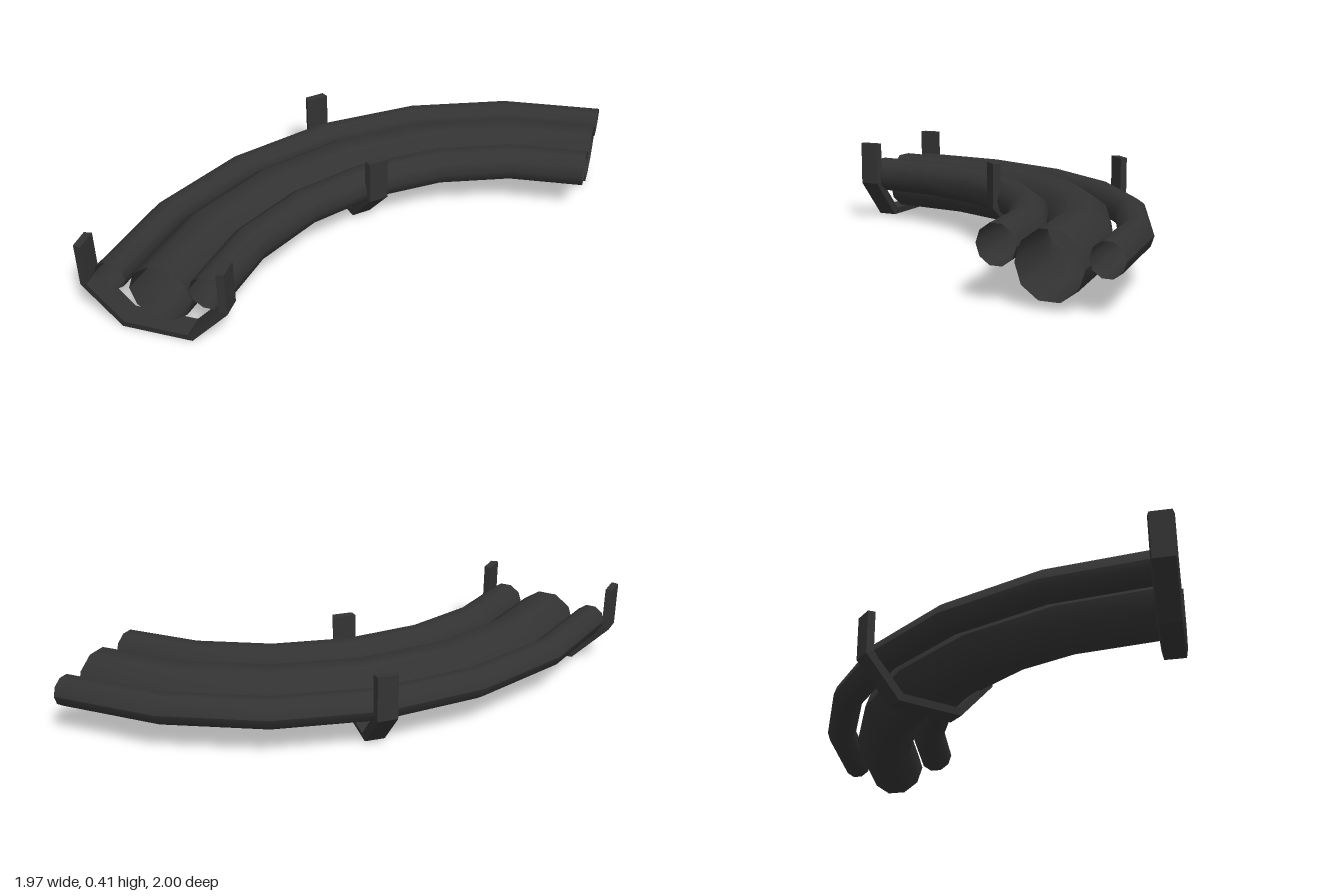
import * as THREE from 'three';

const dark = new THREE.MeshStandardMaterial({ color: 0x333333, side: THREE.DoubleSide });
const darkFlat = new THREE.MeshStandardMaterial({ color: 0x333333, flatShading: true });

const BEND = { x: 0.985, z: 0.932 }; // centre of the quarter-circle bend
const MID_R = 1.626;

// Open-ended pipe swept through 90 degrees in six straight runs
function pipe(name, bendRadius, y, radius, sides = 10) {
  const ring = [];
  for (let i = 0; i <= sides; i++) {
    const a = (i / sides) * Math.PI * 2;
    ring.push(new THREE.Vector2(bendRadius + radius * Math.cos(a), radius * Math.sin(a)));
  }
  const geo = new THREE.LatheGeometry(ring, 6, -Math.PI, Math.PI / 2);
  const mesh = new THREE.Mesh(geo, dark);
  mesh.position.set(BEND.x, y, BEND.z);
  mesh.name = name;
  return mesh;
}

// U-shaped strap profile: the outer edge is narrower than the inner one
function bracketGeometry() {
  const half = [[0.165, 0.005], [0.342, 0.2], [0.342, 0.415]];
  const halfIn = [[0.149, 0.04], [0.307, 0.214], [0.307, 0.415]];
  const mirror = (pts) => [...pts].reverse().map(([x, y]) => [-x, y]).concat(pts);
  const outer = mirror(half);
  const inner = mirror(halfIn).reverse();
  const shape = new THREE.Shape(outer.concat(inner).map(([x, y]) => new THREE.Vector2(x, y)));
  const geo = new THREE.ExtrudeGeometry(shape, { depth: 0.11, bevelEnabled: false });
  geo.translate(0, 0, -0.055);
  const p = geo.attributes.position;
  for (let i = 0; i < p.count; i++) {
    const isOuter = outer.some(([x, y]) => Math.hypot(p.getX(i) - x, p.getY(i) - y) < 1e-4);
    if (isOuter) p.setZ(i, p.getZ(i) * 0.86);
  }
  geo.computeVertexNormals();
  return geo;
}

export function createModel() {
  const group = new THREE.Group();
  group.name = 'pipeBend';

  // Three parallel pipes
  group.add(
    pipe('outerPipe', 1.856, 0.225, 0.074),
    pipe('middlePipe', 1.622, 0.18, 0.147),
    pipe('innerPipe', 1.396, 0.24, 0.088),
  );

  // Hanger brackets at the front end and halfway round
  const geo = bracketGeometry();
  const end = new THREE.Mesh(geo, darkFlat);
  end.name = 'endBracket';
  end.position.set(BEND.x - MID_R, 0, 0.945);

  const middle = new THREE.Mesh(geo, darkFlat);
  middle.name = 'middleBracket';
  const d = MID_R * Math.SQRT1_2;
  middle.position.set(BEND.x - d, 0, BEND.z - d);
  middle.rotation.y = -Math.PI / 4;

  group.add(end, middle);
  return group;
}
